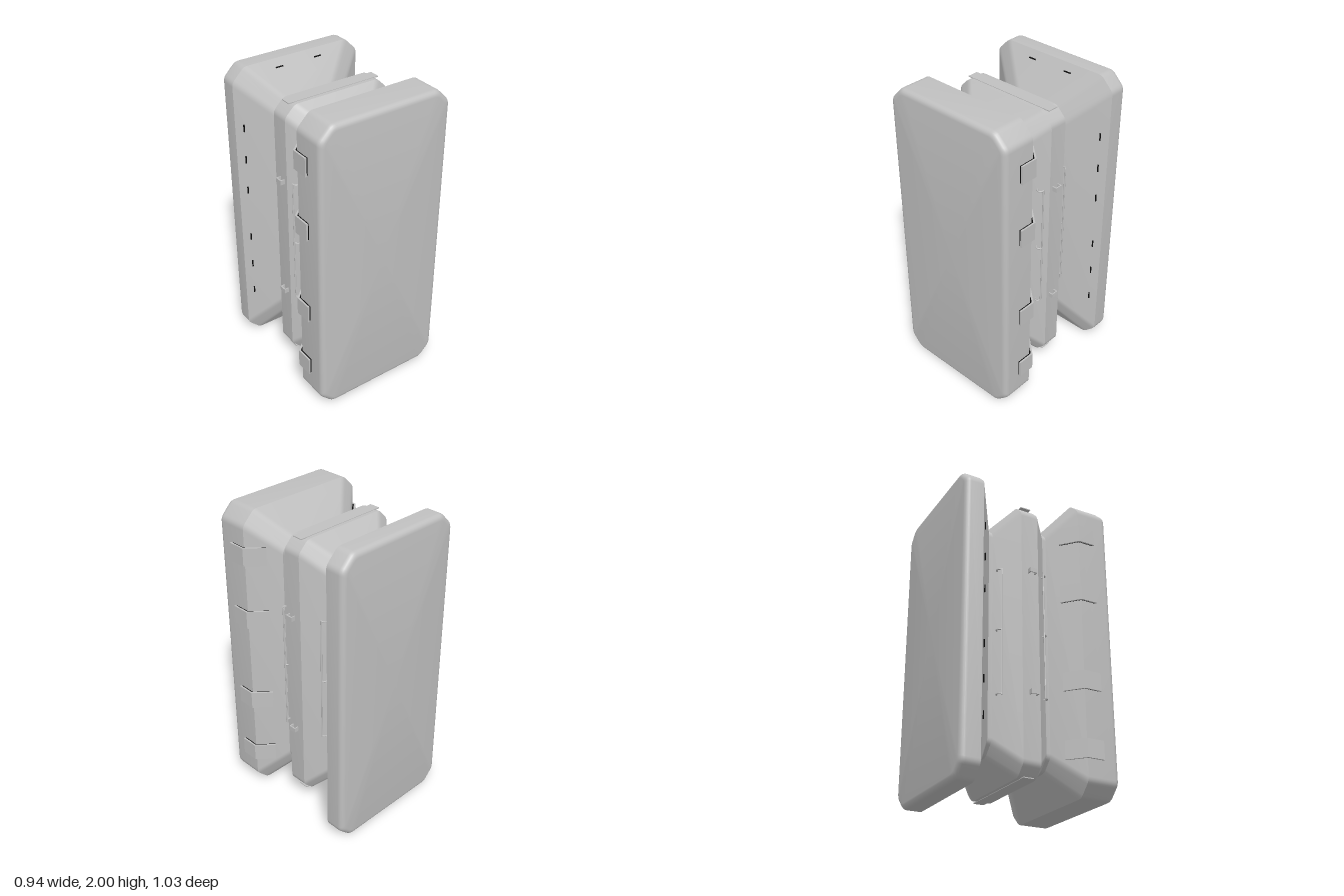
import * as THREE from 'three';
import { toCreasedNormals } from 'three/addons/utils/BufferGeometryUtils.js';

const grey = new THREE.MeshStandardMaterial({ color: 0xc0c0c0 });
grey.name = 'painted metal';
const dark = new THREE.MeshStandardMaterial({ color: 0x0c0c0c });
dark.name = 'dark rubber';

// Chamfered rectangle with softened corners, counter-clockwise seen from +z
function ringPoints(w, h, c) {
  const corners = [
    [w, -h + c], [w, h - c], [w - c, h], [-w + c, h],
    [-w, h - c], [-w, -h + c], [-w + c, -h], [w - c, -h],
  ].map(([x, y]) => new THREE.Vector2(x, y));
  const t = 0.024, points = [];
  corners.forEach((p, i) => {
    const toward = (q) => q.clone().sub(p).setLength(t).add(p);
    const curve = new THREE.QuadraticBezierCurve(toward(corners[(i + 7) % 8]), p, toward(corners[(i + 1) % 8]));
    points.push(...curve.getPoints(4));
  });
  return points;
}

// Skin over [z, halfWidth, halfHeight, chamfer] sections running from back to front
function loft(sections) {
  const pos = [], index = [];
  const rings = sections.map(([z, w, h, c]) => {
    const pts = ringPoints(w, h, c);
    pts.forEach((p) => pos.push(p.x, p.y + 1, z));
    return pts.length;
  });
  const n = rings[0], last = (sections.length - 1) * n, hub = sections.length * n;
  pos.push(0, 1, sections[0][0], 0, 1, sections[sections.length - 1][0]);
  for (let j = 0; j < n; j++) {
    const k = (j + 1) % n;
    for (let i = 0; i < last; i += n) {
      index.push(i + j, i + k, i + n + k, i + j, i + n + k, i + n + j);
    }
    index.push(hub, k, j, hub + 1, last + j, last + k);
  }
  const geo = new THREE.BufferGeometry();
  geo.setAttribute('position', new THREE.Float32BufferAttribute(pos, 3));
  geo.setIndex(index);
  return toCreasedNormals(geo, 0.42);
}

// Quarter-round edge sections at a block's outer face; dir is +1 front, -1 back
function roundedEnd(dir) {
  const r = 0.035, out = [];
  for (let i = 0; i <= 5; i++) {
    const a = (i / 5) * Math.PI / 2, d = r * (1 - Math.cos(a));
    out.push([dir * (0.515 - r + r * Math.sin(a)), 0.45 - d, 1 - d, 0.085 - 0.586 * d]);
  }
  return dir > 0 ? out : out.reverse();
}

// Outline in the x-z plane pulled up to a given height, centred on y
function extrudeXZ(outline, y, height) {
  const shape = new THREE.Shape(outline.map(([x, z]) => new THREE.Vector2(x, -z)));
  const geo = new THREE.ExtrudeGeometry(shape, { depth: height, bevelEnabled: false });
  return geo.rotateX(-Math.PI / 2).translate(0, y - height / 2, 0);
}

// Mirror a geometry across x = 0 and restore its winding
function mirrorX(geo) {
  const g = (geo.index ? geo.toNonIndexed() : geo.clone()).scale(-1, 1, 1);
  for (const name of ['position', 'normal', 'uv']) {
    const a = g.attributes[name];
    if (!a) continue;
    const s = a.itemSize;
    for (let i = 0; i < a.count; i += 3) {
      for (let k = 0; k < s; k++) {
        const b = a.array[(i + 1) * s + k];
        a.array[(i + 1) * s + k] = a.array[(i + 2) * s + k];
        a.array[(i + 2) * s + k] = b;
      }
    }
  }
  g.computeVertexNormals();
  return toCreasedNormals(g, 0.6);
}

export function createModel() {
  const model = new THREE.Group();
  const add = (name, geo, mat = grey) => {
    const mesh = new THREE.Mesh(geo, mat);
    mesh.name = name;
    model.add(mesh);
    return mesh;
  };
  const addPair = (name, geo, mat) => {
    add(name + 'Left', geo, mat);
    add(name + 'Right', mirrorX(geo), mat);
  };

  // Body: back block, neck, middle section, neck, front block
  add('body', loft([
    ...roundedEnd(-1),
    [-0.39, 0.45, 1, 0.085],
    [-0.242, 0.232, 0.776, 0.075],
    [-0.216, 0.232, 0.776, 0.075],
    [-0.078, 0.362, 0.91, 0.07],
    [0.04, 0.362, 0.91, 0.07],
    [0.122, 0.282, 0.83, 0.075],
    [0.148, 0.282, 0.83, 0.075],
    [0.297, 0.45, 1, 0.085],
    ...roundedEnd(1),
  ]));

  // Bent latch plates with dark pads around the front block's shoulders
  for (const y of [1.73, 1.305, 0.705, 0.275]) {
    addPair('latch', extrudeXZ([
      [0.459, 0.402], [0.47, 0.402], [0.47, 0.288], [0.366, 0.197], [0.36, 0.205], [0.459, 0.293],
    ], y, 0.117));
    addPair('latchPad', extrudeXZ([
      [0.449, 0.398], [0.459, 0.398], [0.459, 0.293], [0.36, 0.205], [0.354, 0.212], [0.449, 0.297],
    ], y, 0.11), dark);
  }

  // Small square staples on the sides of the middle section
  for (const y of [1.412, 0.595]) {
    addPair('staple', extrudeXZ([
      [0.355, 0.016], [0.392, 0.016], [0.392, -0.034], [0.355, -0.034],
      [0.355, -0.027], [0.385, -0.027], [0.385, 0.009], [0.355, 0.009],
    ], y, 0.03));
  }

  // Long grab rails, each held by three curved brackets
  const rails = [
    [[0.308, 0.082], [0.318, 0.1], [0.335, 0.104], [0.35, 0.083]],
    [[0.25, -0.19], [0.263, -0.203], [0.28, -0.2], [0.293, -0.182]],
  ];
  for (const path of rails) {
    const [x, z] = path[3];
    addPair('grabRail', new THREE.CylinderGeometry(0.005, 0.005, 0.85, 8).translate(x, 1.003, z));
    for (const y of [1.422, 1.003, 0.584]) {
      const curve = new THREE.CatmullRomCurve3(path.map(([px, pz]) => new THREE.Vector3(px, y, pz)));
      addPair('railBracket', new THREE.TubeGeometry(curve, 10, 0.005, 6));
    }
  }

  // Thin cover strips on the top and bottom of the middle section
  for (const y of [1.91, 0.09]) {
    add('coverStrip', new THREE.BoxGeometry(0.636, 0.006, 0.07).translate(0, y, -0.02));
  }

  // Dark slits along the inner slope of the back block
  const slope = Math.atan2(0.148, 0.218);
  for (const y of [1.62, 1.4, 1.18, 0.82, 0.6, 0.38]) {
    addPair('sideSlit', new THREE.BoxGeometry(0.012, 0.05, 0.006).rotateY(Math.PI / 2 - slope - Math.PI / 2 + slope * 2 - Math.PI / 2 + 0.5)
      .translate(0.405, y, -0.359), dark);
  }
  for (const x of [-0.14, 0.135]) {
    add('topSlit', new THREE.BoxGeometry(0.05, 0.006, 0.008).translate(x, 1.954, -0.359), dark);
  }
  return model;
}
